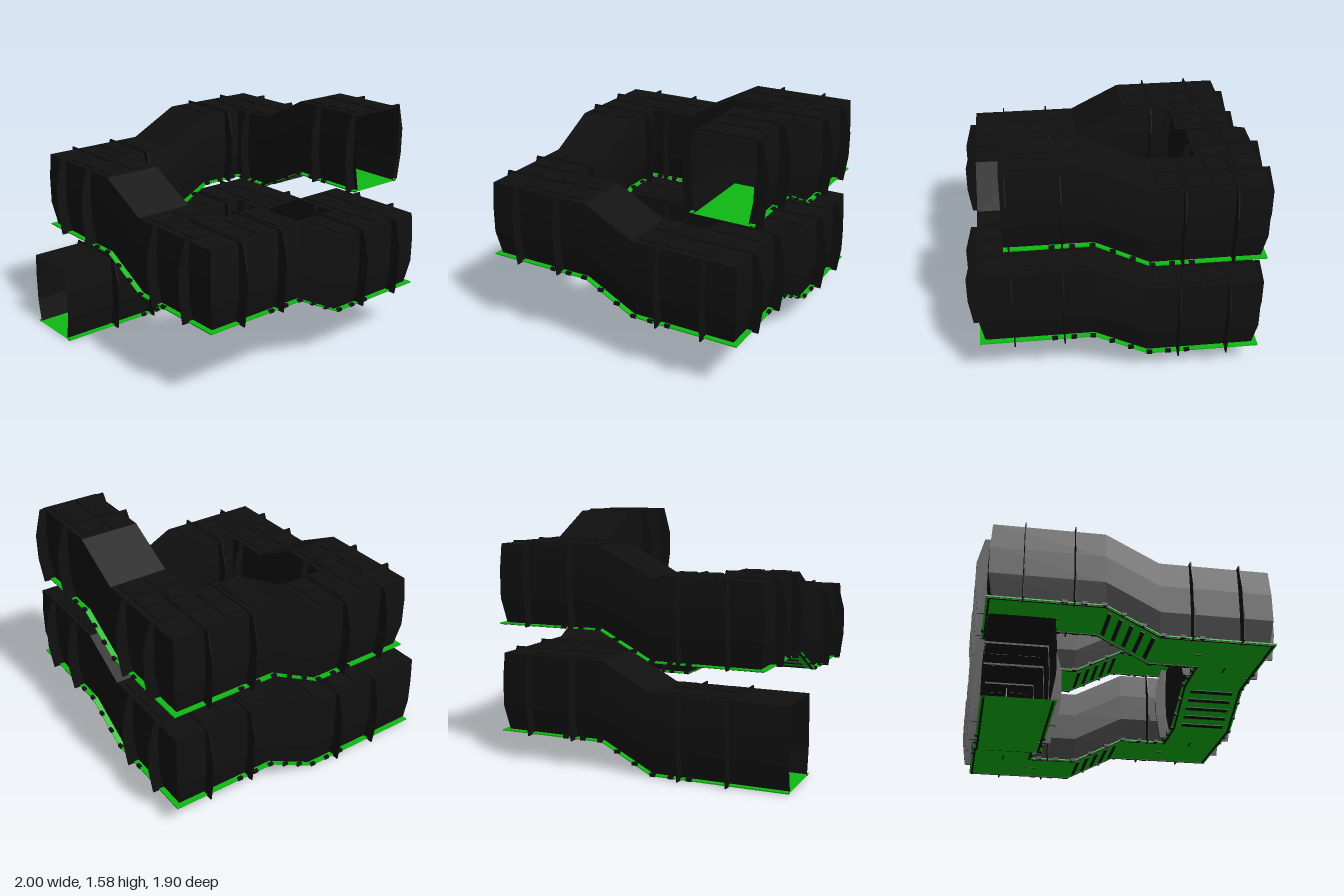
import * as THREE from 'three';

const X0 = -0.64, X1 = 0.72, Z0 = -0.68, Z1 = 0.675; // corridor centre lines
const RISE = 0.175, RAMP = 0.168;                    // climb per corridor, half ramp length
const V = (x, y, z) => new THREE.Vector3(x, y, z);

export function createModel() {
  const group = new THREE.Group();
  const dark = new THREE.MeshStandardMaterial({ color: 0x101010, side: THREE.DoubleSide, flatShading: true });
  const green = new THREE.MeshStandardMaterial({ color: 0x10b814, side: THREE.DoubleSide, flatShading: true });

  const add = (parent, name, geometry, material) => {
    const mesh = new THREE.Mesh(geometry, material);
    mesh.name = name;
    parent.add(mesh);
    return mesh;
  };

  // Six climbing corridors around a square well
  const corners = [[X0, Z0], [X1, Z0], [X1, Z1], [X0, Z1]];
  const corridors = [];
  const path = [];
  for (let i = 0; i < 6; i++) {
    const [ax, az] = corners[i % 4], [bx, bz] = corners[(i + 1) % 4];
    const dir = V(bx - ax, 0, bz - az).normalize();
    const mid = V((ax + bx) / 2, i * RISE, (az + bz) / 2);
    corridors.push({ dir, mid, angle: Math.atan2(dir.x, dir.z) });
    path.push(i === 0 ? V(-1, 0, Z0) : V(ax, i * RISE, az));
    path.push(mid.clone().addScaledVector(dir, -RAMP));
    path.push(mid.clone().addScaledVector(dir, RAMP).setY((i + 1) * RISE));
  }
  path.push(V(X1, 6 * RISE, 0.7));

  // Sweep an upright [side, height] section along the path, mitred at the corners
  const sweep = (section, closed) => {
    const pos = [], index = [], n = section.length;
    const side = (a, b) => { const d = b.clone().sub(a).setY(0).normalize(); return V(d.z, 0, -d.x); };
    path.forEach((p, i) => {
      const s1 = side(path[Math.max(i - 1, 0)], path[Math.max(i, 1)]);
      const last = path.length - 1;
      const s2 = side(path[Math.min(i, last - 1)], path[Math.min(i + 1, last)]);
      const m = s1.clone().add(s2).divideScalar(1 + s1.dot(s2));
      for (const [u, h] of section) pos.push(p.x + m.x * u, p.y + h, p.z + m.z * u);
      if (i === last) return;
      for (let j = 0; j < (closed ? n : n - 1); j++) {
        const k = (j + 1) % n, a = i * n + j, b = i * n + k;
        index.push(a, b, a + n, b, b + n, a + n);
      }
    });
    const g = new THREE.BufferGeometry();
    g.setAttribute('position', new THREE.Float32BufferAttribute(pos, 3));
    g.setIndex(index);
    const flat = g.toNonIndexed();
    flat.computeVertexNormals();
    return flat;
  };

  const wall = [[-0.175, 0.012], [-0.202, 0.17], [-0.202, 0.35], [-0.192, 0.515]];
  const mirrored = wall.map(([u, h]) => [-u, h]).reverse();
  add(group, 'corridorShell', sweep([...wall, ...mirrored], false), dark);
  add(group, 'floor', sweep([[-0.21, 0.004], [0.21, 0.004], [0.21, 0.012], [-0.21, 0.012]], true), green);
  for (const s of [-1, 1]) {
    add(group, 'floorTrim', sweep([[s * 0.185, 0], [s * 0.198, 0], [s * 0.198, 0.005], [s * 0.185, 0.005]], true), dark);
  }

  // Thin bulging rib, open underneath so it straddles the floor
  const outer = [[-0.25, 0], [-0.275, 0.18], [-0.275, 0.35], [-0.23, 0.525],
    [0.23, 0.525], [0.275, 0.35], [0.275, 0.18], [0.25, 0]];
  const inner = [...mirrored].reverse().map(([u, h]) => [u - 0.004, h - 0.012]);
  const innerLeft = inner.map(([u, h]) => [-u, h]).reverse();
  const ribShape = new THREE.Shape([...outer, ...inner, ...innerLeft].map(([u, h]) => new THREE.Vector2(u, h)));
  const ribGeometry = new THREE.ExtrudeGeometry(ribShape, { depth: 0.008, bevelEnabled: false });
  ribGeometry.translate(0, 0, -0.004);

  const tile = new THREE.BoxGeometry(0.13, 0.012, 0.12);
  const slat = new THREE.BoxGeometry(0.29, 0.01, 0.025);
  const rimBlock = new THREE.BoxGeometry(0.02, 0.02, 0.035);

  corridors.forEach(({ dir, mid, angle }) => {
    const section = new THREE.Group();
    section.name = 'corridorFittings';
    section.position.copy(mid);
    section.rotation.y = angle;
    group.add(section);
    const floorAt = (t) => RISE * THREE.MathUtils.clamp((t + RAMP) / (2 * RAMP), 0, 1);

    for (const t of [-0.67, -0.36, 0.36, 0.67]) {
      add(section, 'wallRib', ribGeometry, dark).position.set(0, floorAt(t), t);
    }
    // Raised roof tiles in pairs on the level stretches
    for (const t of [-0.6, -0.44, -0.27, 0.27, 0.44, 0.6]) {
      for (const u of [-0.09, 0.09]) {
        add(section, 'roofTile', tile, dark).position.set(u, floorAt(t) + 0.519, t);
      }
    }
    // Cross slats under the ramp
    for (let i = 0; i < 5; i++) {
      const t = -0.134 + i * 0.067;
      const m = add(section, 'rampSlat', slat, dark);
      m.position.set(0, floorAt(t) + 0.003, t);
      m.rotation.x = -Math.atan2(RISE, 2 * RAMP);
    }
    // Small blocks clamping the floor rim
    for (let t = -0.42; t < 0.43; t += 0.12) {
      for (const u of [-0.205, 0.205]) {
        add(section, 'rimBlock', rimBlock, dark).position.set(u, floorAt(t) + 0.012, t);
      }
    }
  });
  return group;
}
